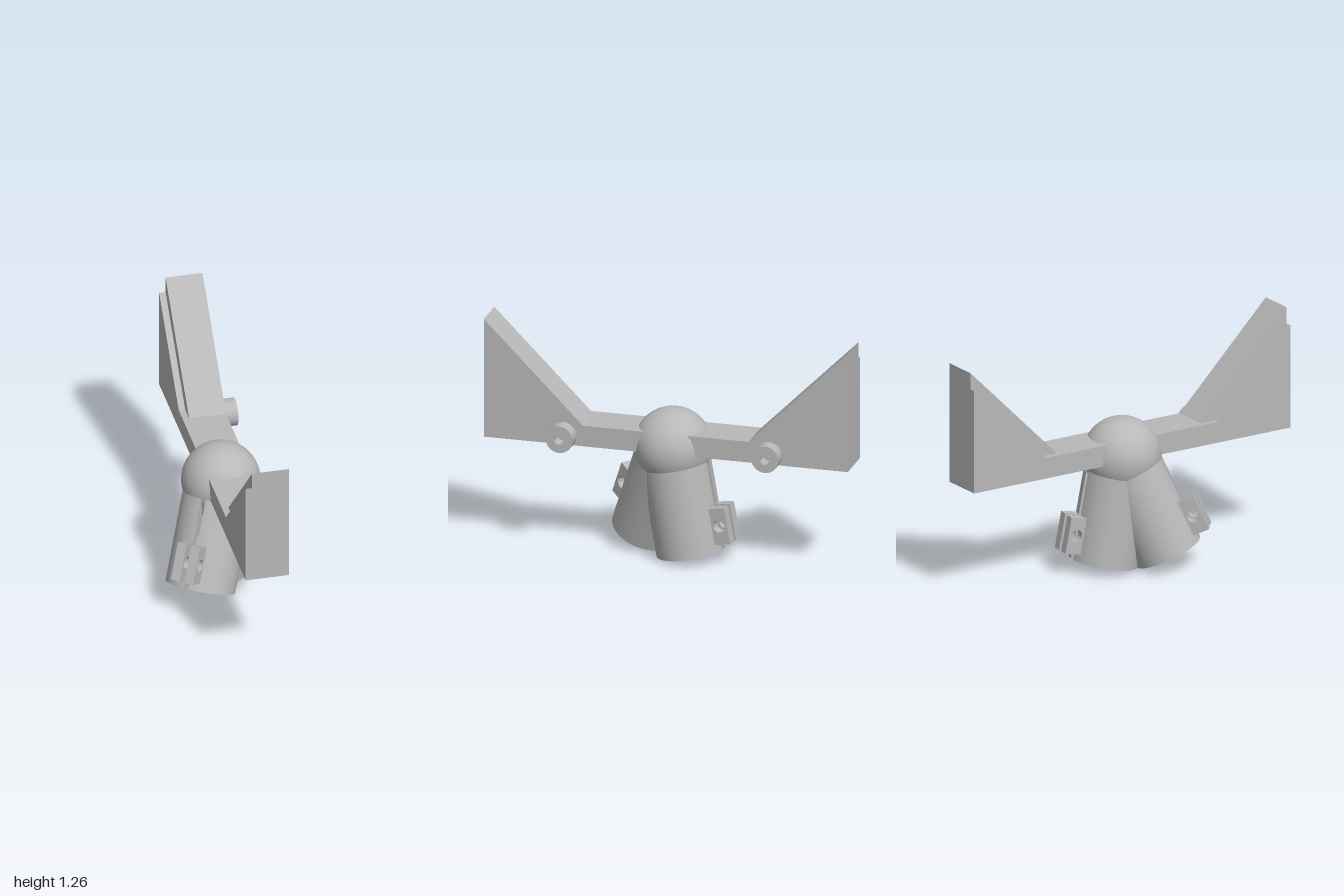
import * as THREE from 'three';
import { toCreasedNormals } from 'three/addons/utils/BufferGeometryUtils.js';

const grey = new THREE.MeshStandardMaterial({ color: 0xb8b8b8 });
grey.name = 'grey';

const HUB = new THREE.Vector3(0.065, 0.61, 0);
const LENGTH = 0.584, OUTER = 0.187, INNER = 0.137, SLIT = 0.026, LUG = 0.052;

function add(parent, name, geometry) {
  const mesh = new THREE.Mesh(toCreasedNormals(geometry, 0.5), grey);
  mesh.name = name;
  parent.add(mesh);
  return mesh;
}

// Beam profile with a 45 degree wedge at each end, extruded along x
function beam(peak, x, width) {
  const base = 0.605, top = 0.72, foot = 1 - (peak - top);
  const shape = new THREE.Shape([
    [-1, base], [1, base], [1, peak], [foot, top], [-foot, top], [-1, peak],
  ].map(([a, b]) => new THREE.Vector2(a, b)));
  return new THREE.ExtrudeGeometry(shape, { depth: width, bevelEnabled: false })
    .rotateY(Math.PI / 2).translate(x, 0, 0);
}

// Slit tube along local +y; mitred on the plane (normal n) shared with the other tube
function tubeGeometry(n) {
  const steps = 64, positions = [];
  const quad = (a, b, c, d) => [a, b, c, a, c, d].forEach((p) => positions.push(...p));
  const ring = (r) => {
    const gap = Math.asin(SLIT / 2 / r), points = [];
    for (let i = 0; i <= steps; i++) {
      const t = gap + (2 * Math.PI - 2 * gap) * i / steps;
      const x = r * Math.cos(t), z = r * Math.sin(t);
      const start = Math.min(LENGTH, Math.max(0.05, -(x * n.x + z * n.z) / n.y));
      points.push({ start: [x, start, z], end: [x, LENGTH, z] });
    }
    return points;
  };
  const outer = ring(OUTER), inner = ring(INNER);
  // Outer wall, slit face, bore, slit face
  const loop = [...outer, ...[...inner].reverse()];
  loop.forEach((p, i) => {
    const q = loop[(i + 1) % loop.length];
    quad(p.start, p.end, q.end, q.start);
  });
  // Open end rim
  for (let i = 0; i < steps; i++) {
    quad(outer[i].end, inner[i].end, inner[i + 1].end, outer[i + 1].end);
  }
  const geometry = new THREE.BufferGeometry();
  geometry.setAttribute('position', new THREE.Float32BufferAttribute(positions, 3));
  return geometry;
}

// Drilled clamp lug beside the slit
function lugGeometry(z) {
  const shape = new THREE.Shape([
    [0.15, 0.34], [0.266, 0.34], [0.266, 0.54], [0.15, 0.54],
  ].map(([a, b]) => new THREE.Vector2(a, b)));
  shape.holes.push(new THREE.Path().absarc(0.218, 0.44, 0.033, 0, Math.PI * 2, true));
  return new THREE.ExtrudeGeometry(shape, { depth: LUG, bevelEnabled: false, curveSegments: 16 })
    .translate(0, 0, z);
}

function socket(name, d, other) {
  const group = new THREE.Group();
  group.name = name;
  // Local axes: x points to the slit (upper side), y runs down the tube
  const side = new THREE.Vector3(d.z, 0, -d.x).normalize();
  let u = new THREE.Vector3().crossVectors(d, side).normalize();
  if (u.y < 0) u.negate();
  const w = new THREE.Vector3().crossVectors(u, d);
  const n = d.clone().sub(other);
  group.quaternion.setFromRotationMatrix(new THREE.Matrix4().makeBasis(u, d, w));
  group.position.copy(HUB);
  add(group, 'tube', tubeGeometry(new THREE.Vector3(n.dot(u), n.dot(d), n.dot(w))));
  add(group, 'clampLugA', lugGeometry(SLIT / 2));
  add(group, 'clampLugB', lugGeometry(-SLIT / 2 - LUG));
  return group;
}

export function createModel() {
  const model = new THREE.Group();
  model.name = 'bracket';

  // Beam with end wedges and the lower step along its side
  add(model, 'beam', beam(1.265, 0, 0.2));
  add(model, 'beamStep', beam(1.175, -0.035, 0.035));

  // Ball joining the two tubes
  const ball = add(model, 'hubBall', new THREE.SphereGeometry(0.21, 64, 40));
  ball.position.copy(HUB);

  // Splayed tube sockets
  const front = new THREE.Vector3(-0.155, -0.53, 0.19).normalize();
  const back = new THREE.Vector3(0.015, -0.57, -0.105).normalize();
  model.add(socket('frontSocket', front, back), socket('backSocket', back, front));

  // Bosses with blind holes
  const profile = [
    [0, 0.125], [0.074, 0.125], [0.074, 0.276], [0.028, 0.276], [0.028, 0.205], [0, 0.205],
  ].map(([r, h]) => new THREE.Vector2(r, h));
  for (const z of [-0.565, 0.565]) {
    const boss = add(model, z > 0 ? 'frontBoss' : 'backBoss',
      new THREE.LatheGeometry(profile, 40).rotateZ(-Math.PI / 2));
    boss.position.set(0, 0.657, z);
  }
  return model;
}
